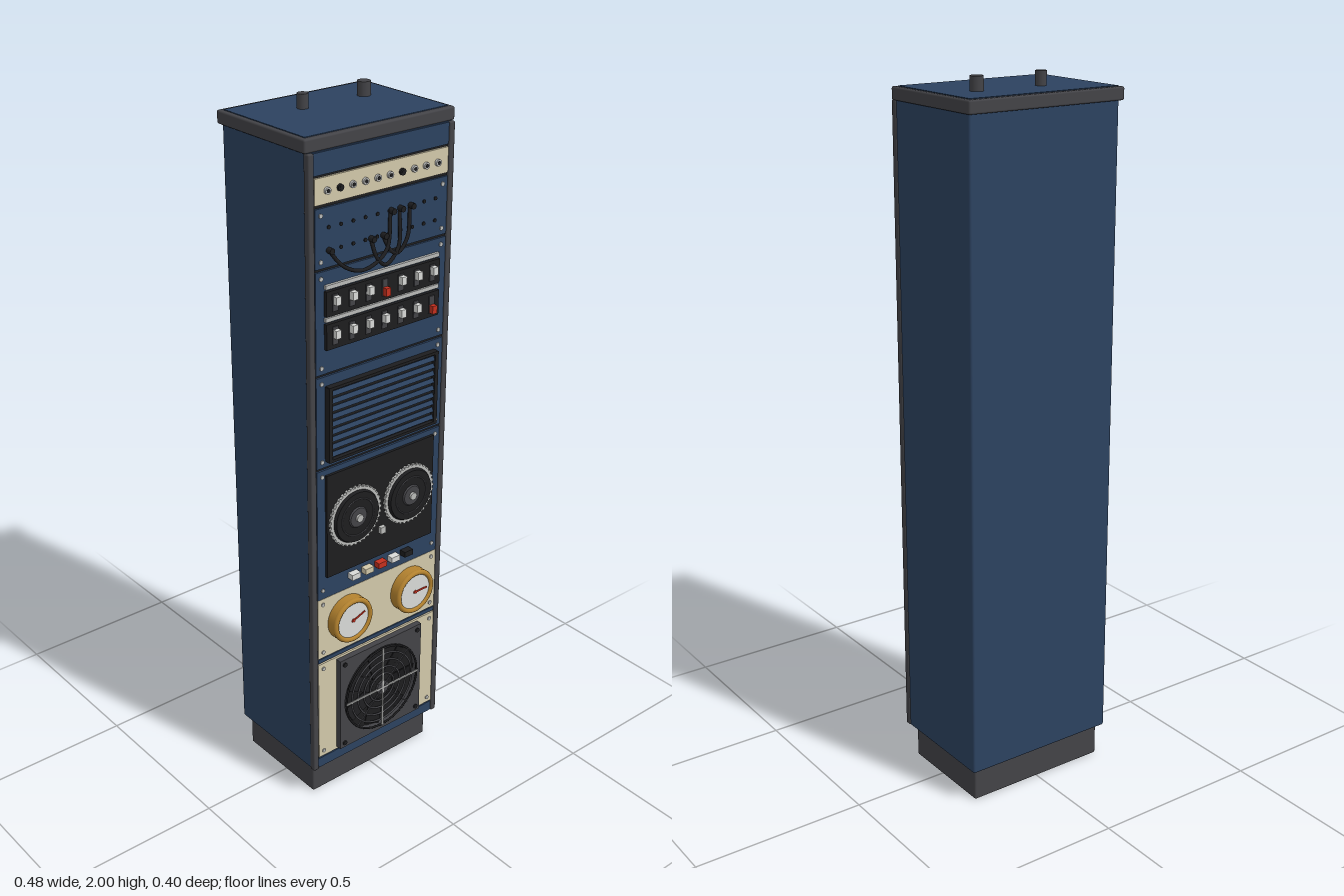
import * as THREE from 'three';
import { RoundedBoxGeometry } from 'three/addons/geometries/RoundedBoxGeometry.js';

const mat = (name, color) => {
  const m = new THREE.MeshStandardMaterial({ color });
  m.name = name;
  return m;
};

export function createModel() {
  const navy = mat('navy paint', 0x2c4260);
  const grey = mat('dark grey', 0x434347);
  const black = mat('black', 0x1d1d1f);
  const cream = mat('cream panel', 0xd2c8aa);
  const silver = mat('silver', 0xb9bab8);
  const brass = mat('brass', 0xb5832f);
  const white = mat('dial white', 0xd9dad8);
  const red = mat('red', 0xc4301f);

  const root = new THREE.Group();
  root.name = 'equipmentRack';

  const add = (name, geo, material, x = 0, y = 0, z = 0, parent = root) => {
    const m = new THREE.Mesh(geo, material);
    m.name = name;
    m.position.set(x, y, z);
    parent.add(m);
    return m;
  };
  // box given by its limits
  const box = (name, material, x0, x1, y0, y1, z0, z1, parent) =>
    add(name, new THREE.BoxGeometry(x1 - x0, y1 - y0, z1 - z0), material,
      (x0 + x1) / 2, (y0 + y1) / 2, (z0 + z1) / 2, parent);
  const round = (name, material, x0, x1, y0, y1, z0, z1, r) =>
    add(name, new RoundedBoxGeometry(x1 - x0, y1 - y0, z1 - z0, 2, r), material,
      (x0 + x1) / 2, (y0 + y1) / 2, (z0 + z1) / 2);
  // disc or knob facing the front, from z0 to z1
  const disc = (name, material, r, x, y, z0, z1, n = 32, rFront = r) =>
    add(name, new THREE.CylinderGeometry(rFront, r, z1 - z0, n).rotateX(Math.PI / 2),
      material, x, y, (z0 + z1) / 2);
  const ring = (name, material, r, tube, x, y, z) =>
    add(name, new THREE.TorusGeometry(r, tube, 8, 48), material, x, y, z);
  const screws = (x, y0, y1) => {
    for (const sx of [-x, x]) for (const y of [y0, y1])
      disc('screw', silver, 0.006, sx, y, 0.158, 0.163, 10);
  };

  // cabinet shell, plinth and cap
  round('plinth', grey, -0.218, 0.218, 0, 0.105, -0.17, 0.132, 0.005);
  round('cabinet', navy, -0.234, 0.234, 0.098, 1.93, -0.188, 0.152, 0.006);
  round('topCap', grey, -0.242, 0.242, 1.925, 1.96, -0.2, 0.154, 0.005);
  box('topPanel', navy, -0.23, 0.23, 1.955, 1.962, -0.185, 0.14);
  for (const s of [-1, 1])
    add('frontRail', new RoundedBoxGeometry(0.018, 1.825, 0.02, 2, 0.004), grey, s * 0.228, 1.0125, 0.152);
  box('frontRecess', black, -0.22, 0.22, 0.135, 1.87, 0.148, 0.154);
  box('topBlank', navy, -0.219, 0.219, 1.868, 1.924, 0.15, 0.158);
  box('bottomBlank', navy, -0.219, 0.219, 0.102, 0.134, 0.15, 0.158);

  // cable glands on the roof
  add('cableGland', new THREE.CylinderGeometry(0.015, 0.015, 0.05, 16), grey, -0.07, 1.975, -0.07);
  add('cableGland', new THREE.CylinderGeometry(0.018, 0.018, 0.05, 16), grey, 0.13, 1.975, -0.07);

  // rack panels: [name, material, bottom, top]
  const panels = [
    ['jackPanel', cream, 1.795, 1.862], ['patchPanel', navy, 1.632, 1.786],
    ['switchPanel', navy, 1.348, 1.624], ['ventPanel', navy, 1.08, 1.34],
    ['reelPanel', navy, 0.685, 1.072], ['gaugePanel', cream, 0.482, 0.675],
    ['fanPanel', cream, 0.14, 0.462],
  ];
  for (const [name, m, y0, y1] of panels) {
    box(name, m, -0.217, 0.217, y0, y1, 0.15, 0.16);
    if (name !== 'jackPanel') screws(0.2, y0 + 0.018, y1 - 0.018);
  }
  for (const y of [0.472, 0.68]) box('panelTrim', navy, -0.217, 0.217, y - 0.006, y + 0.006, 0.15, 0.159);

  // jack sockets
  for (let i = 0; i < 10; i++) {
    const x = -0.18 + i * 0.04, dark = i === 1 || i === 6;
    disc('jackRing', dark ? black : silver, 0.009, x, 1.828, 0.159, 0.167, 16);
    disc('jackHole', black, 0.005, x, 1.828, 0.164, 0.168, 12);
  }

  // patch holes and hanging cables
  for (const y of [1.735, 1.676])
    for (let i = 0; i < 10; i++)
      disc('patchHole', black, 0.005, -0.175 + i * 0.039, y, 0.159, 0.163, 10);
  const cables = [
    [[-0.175, 1.676], [-0.14, 1.63], [-0.07, 1.605], [0.0, 1.64], [0.025, 1.735]],
    [[-0.04, 1.676], [-0.03, 1.625], [0.0, 1.602], [0.04, 1.64], [0.055, 1.735]],
    [[0.0, 1.676], [0.015, 1.635], [0.04, 1.625], [0.07, 1.66], [0.09, 1.735]],
  ];
  for (const pts of cables) {
    const path = new THREE.CatmullRomCurve3(pts.map(([x, y], i) =>
      new THREE.Vector3(x, y, i === 0 || i === 4 ? 0.16 : 0.175)));
    add('patchCable', new THREE.TubeGeometry(path, 32, 0.005, 8), black);
    for (const [x, y] of [pts[0], pts[4]]) disc('patchPlug', black, 0.008, x, y, 0.16, 0.176, 12);
  }

  // two rows of toggle switches
  [[1.505, 1.572, 3], [1.415, 1.485, 6]].forEach(([y0, y1, redIndex]) => {
    box('switchTray', black, -0.19, 0.19, y0, y1, 0.158, 0.17);
    box('switchStrip', silver, -0.19, 0.19, y1 + 0.005, y1 + 0.016, 0.158, 0.168);
    for (let i = 0; i < 7; i++) {
      const x = -0.163 + i * 0.0543, isRed = i === redIndex;
      const y = isRed ? y0 + 0.025 : y0 + 0.042;
      box('switchCap', isRed ? red : white, x - 0.008, x + 0.008, y - 0.011, y + 0.011, 0.168, 0.186);
      box('switchSlot', grey, x - 0.009, x + 0.009, y0 + 0.012, y1 - 0.01, 0.168, 0.173);
    }
  });

  // louvred vent
  box('ventBack', black, -0.187, 0.187, 1.098, 1.312, 0.158, 0.166);
  for (let i = 0; i < 9; i++) {
    const slat = add('ventSlat', new THREE.BoxGeometry(0.36, 0.013, 0.006), navy, 0, 1.118 + i * 0.0218, 0.171);
    slat.rotation.x = -0.45;
  }
  for (const s of [-1, 1]) {
    box('ventFrameSide', black, s * 0.183 - 0.006, s * 0.183 + 0.006, 1.098, 1.312, 0.16, 0.178);
    box('ventFrameEdge', black, -0.187, 0.187, 1.205 + s * 0.104 - 0.004, 1.205 + s * 0.104 + 0.004, 0.16, 0.178);
  }

  // twin reels with notched rims
  box('reelPlate', black, -0.19, 0.19, 0.743, 1.056, 0.158, 0.168);
  for (const x of [-0.096, 0.096]) {
    const y = 0.907;
    disc('reelRim', silver, 0.086, x, y, 0.168, 0.176, 48);
    for (let i = 0; i < 36; i++) {
      const a = (i / 36) * Math.PI * 2;
      const tooth = add('reelTooth', new THREE.BoxGeometry(0.006, 0.007, 0.007), silver,
        x + Math.cos(a) * 0.087, y + Math.sin(a) * 0.087, 0.1725);
      tooth.rotation.z = a;
    }
    disc('reelDisc', black, 0.078, x, y, 0.176, 0.184, 48, 0.074);
    ring('reelGroove', grey, 0.055, 0.002, x, y, 0.184);
    disc('reelHub', grey, 0.032, x, y, 0.183, 0.188, 32, 0.028);
    disc('reelSpindle', silver, 0.011, x, y, 0.187, 0.195, 16);
  }
  box('reelLatch', silver, -0.009, 0.009, 0.818, 0.838, 0.167, 0.18);
  [white, cream, red, white, black].forEach((m, i) => {
    const x = -0.096 + i * 0.048;
    box('reelButton', m, x - 0.015, x + 0.015, 0.708, 0.725, 0.158, 0.18);
  });

  // brass gauges
  [[-0.115, 0.35], [0.115, 0]].forEach(([x, angle]) => {
    const y = 0.586;
    disc('gaugeBody', brass, 0.068, x, y, 0.158, 0.187, 48);
    ring('gaugeBezel', brass, 0.061, 0.008, x, y, 0.187);
    disc('gaugeFace', white, 0.056, x, y, 0.185, 0.189, 48);
    const needle = add('gaugeNeedle', new THREE.BoxGeometry(0.05, 0.005, 0.002).translate(0.018, 0, 0), red, x, y, 0.191);
    needle.rotation.z = angle;
    disc('gaugePin', red, 0.005, x, y, 0.189, 0.193, 12);
  });

  // cooling fan: plate with a round opening, blades and wire guard
  const fy = 0.302;
  const plate = new THREE.Shape([[-1, -1], [1, -1], [1, 1], [-1, 1]].map(([a, b]) =>
    new THREE.Vector2(a * 0.153, b * 0.153)));
  plate.holes.push(new THREE.Path().absarc(0, 0, 0.136, 0, Math.PI * 2, true));
  add('fanPlate', new THREE.ExtrudeGeometry(plate, { depth: 0.018, bevelEnabled: false, curveSegments: 32 }), grey, 0, fy, 0.16);
  disc('fanWell', black, 0.137, 0, fy, 0.158, 0.163, 48);
  disc('fanHub', black, 0.042, 0, fy, 0.162, 0.177, 32);
  for (let i = 0; i < 7; i++) {
    const pivot = new THREE.Group();
    pivot.name = 'fanBlade';
    pivot.position.set(0, fy, 0.17);
    pivot.rotation.z = (i / 7) * Math.PI * 2;
    root.add(pivot);
    const blade = add('blade', new THREE.BoxGeometry(0.088, 0.045, 0.003), black, 0.083, 0, 0, pivot);
    blade.rotation.x = 0.25;
  }
  for (const r of [0.045, 0.068, 0.091, 0.114, 0.134])
    ring('guardRing', r > 0.13 ? black : grey, r, 0.003, 0, fy, 0.183);
  for (let i = 0; i < 4; i++) {
    const main = i % 2 === 0;
    const spoke = add('guardSpoke', new THREE.BoxGeometry(0.272, main ? 0.005 : 0.003, 0.004), main ? silver : grey, 0, fy, 0.186);
    spoke.rotation.z = (i * Math.PI) / 4;
  }
  disc('guardCentre', grey, 0.022, 0, fy, 0.18, 0.187, 24);
  for (const sx of [-1, 1]) for (const sy of [-1, 1])
    disc('fanScrew', black, 0.007, sx * 0.137, fy + sy * 0.137, 0.177, 0.182, 12);

  return root;
}
